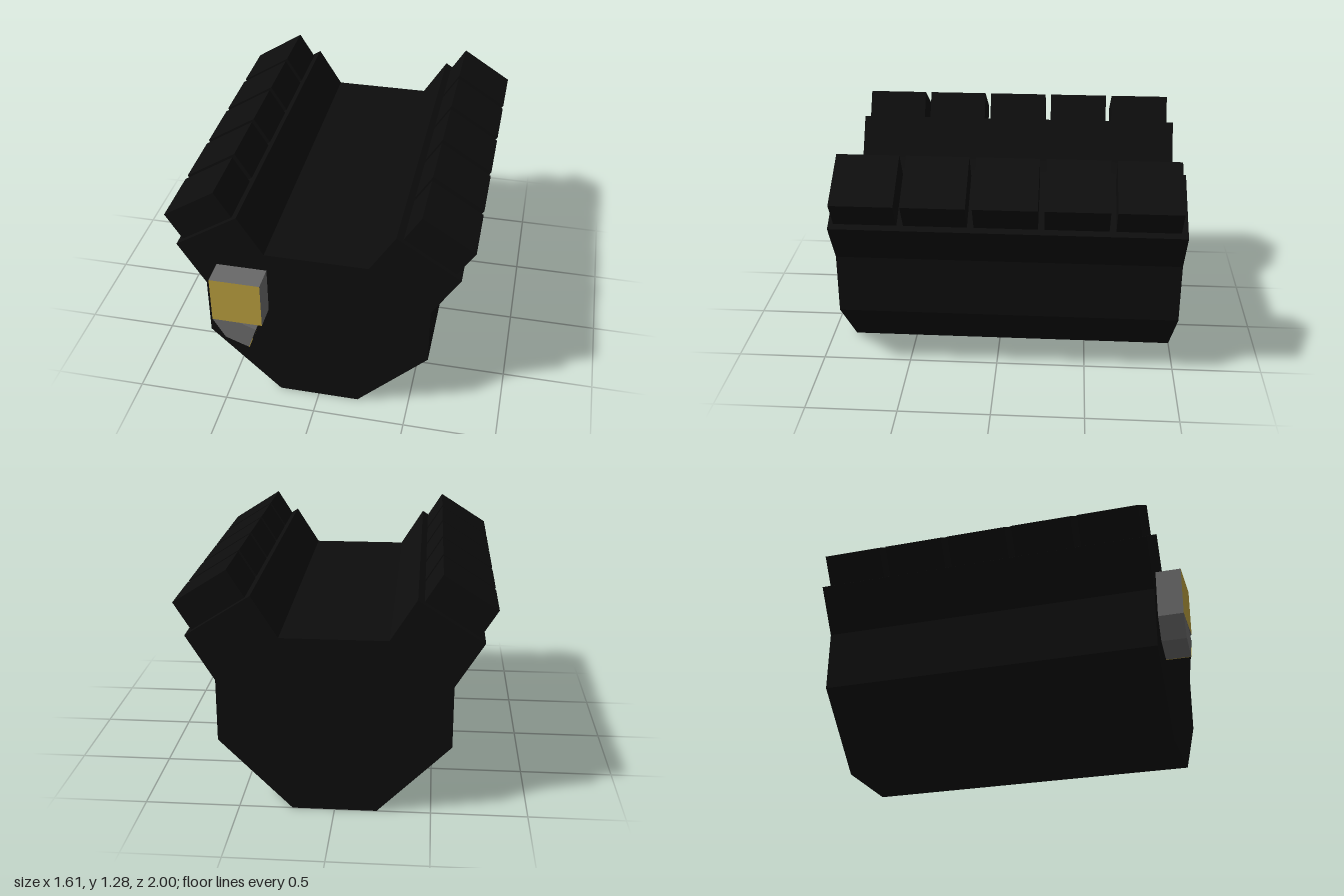
import * as THREE from 'three';

const mat = (name, color) => Object.assign(new THREE.MeshStandardMaterial({ color }), { name });

// Prism along z from a front outline
function prism(name, points, z0, z1, material) {
  const shape = new THREE.Shape(points.map(([x, y]) => new THREE.Vector2(x, y)));
  const geo = new THREE.ExtrudeGeometry(shape, { depth: z1 - z0, bevelEnabled: false });
  geo.translate(0, 0, z0);
  const mesh = new THREE.Mesh(geo, material);
  mesh.name = name;
  return mesh;
}

const mirror = (points) => points.map(([x, y]) => [-x, y]).reverse();

export function createModel() {
  const group = new THREE.Group();
  group.name = 'engineBlock';
  const black = mat('black', 0x0d0d0d);
  const grey = mat('grey', 0x686868);
  const gold = mat('gold', 0xb49a3c);
  const front = 0.865;

  // V-shaped block with its two sloping banks
  const half = [[0.22, 0], [0.6, 0.38], [0.6, 0.71], [0.745, 0.945], [0.41, 1.16], [0.275, 0.945]];
  group.add(prism('block', [...half, ...mirror(half)], -1, front, black));

  // Five heads on each bank
  const head = [[0.7, 0.935], [0.805, 1.105], [0.53, 1.28], [0.424, 1.11]];
  for (let i = 0; i < 5; i++) {
    const z = 0.505 - i * 0.3675;
    group.add(prism('leftHead', head, z, z + 0.333, black));
    group.add(prism('rightHead', mirror(head), z, z + 0.333, black));
  }

  // Front box with a gold face
  const box = new THREE.Mesh(new THREE.BoxGeometry(0.27, 0.265, 1 - front),
    [grey, grey, grey, grey, gold, grey]);
  box.position.set(-0.4, 0.7125, (1 + front) / 2);
  box.name = 'frontBox';
  group.add(box);

  // Tilted bracket below the box
  group.add(prism('bracket',
    [[-0.535, 0.58], [-0.47, 0.465], [-0.345, 0.415], [-0.3, 0.545], [-0.39, 0.58]],
    front, 0.999, grey));

  // Two-tone plates on the bracket's inner side
  const plate = (name, a, b, material) => group.add(prism(name,
    [a, [a[0] + 0.003, a[1] - 0.001], [b[0] + 0.003, b[1] - 0.001], b], front, 1, material));
  plate('lowerPlate', [-0.345, 0.415], [-0.3225, 0.48], gold);
  plate('upperPlate', [-0.3225, 0.48], [-0.3, 0.545], black);

  return group;
}
